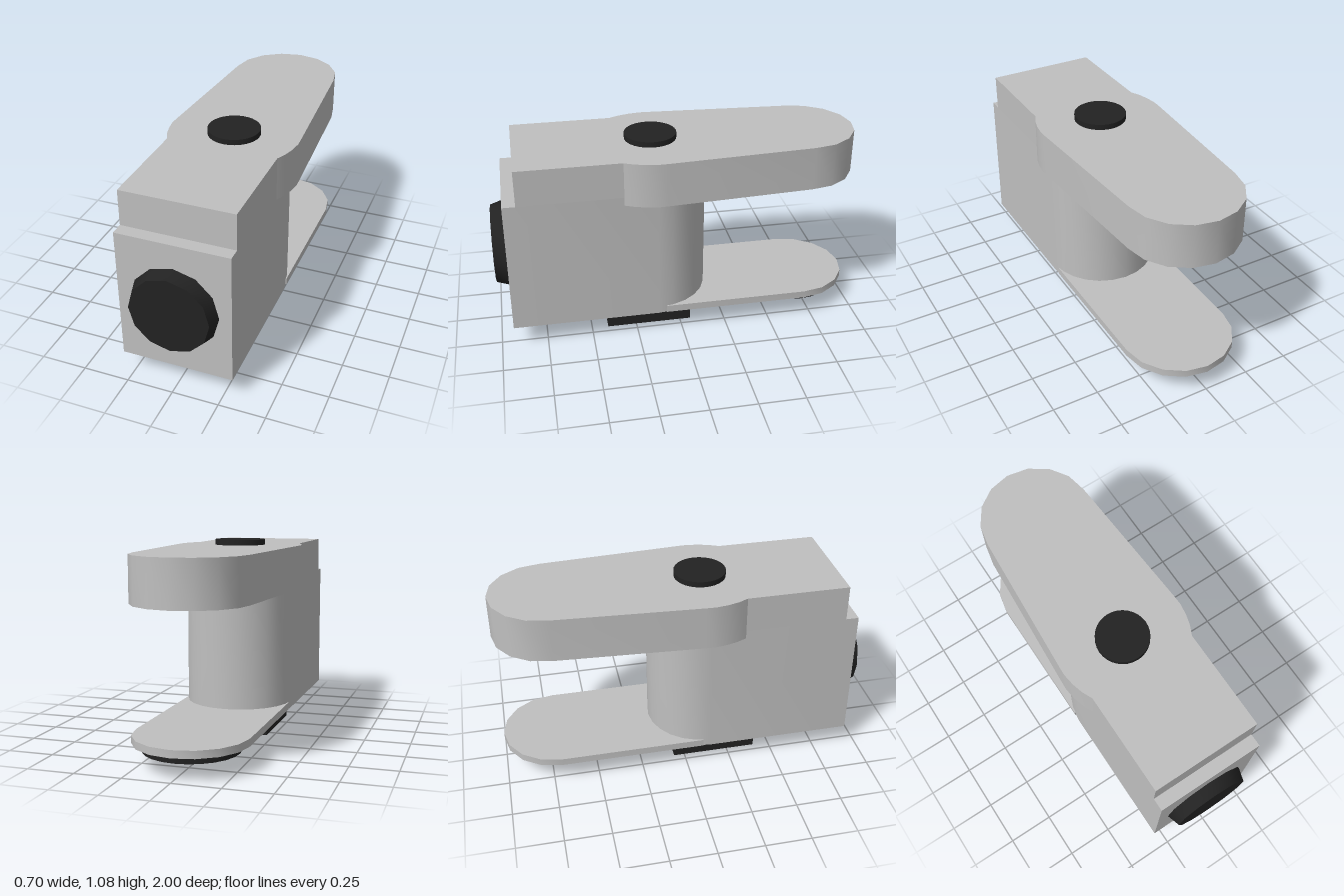
import * as THREE from 'three';
import { toCreasedNormals } from 'three/addons/utils/BufferGeometryUtils.js';

export function createModel() {
  const model = new THREE.Group();
  const grey = new THREE.MeshStandardMaterial({ color: 0xc0c0c0 });
  grey.name = 'lightGrey';
  const black = new THREE.MeshStandardMaterial({ color: 0x222222 });
  black.name = 'black';

  const add = (name, geometry, material) => {
    const mesh = new THREE.Mesh(geometry, material);
    mesh.name = name;
    model.add(mesh);
    return mesh;
  };

  // Symmetric slab from a half plan outline of [x, z] points, front to back
  const slab = (half, y0, y1) => {
    const mirrored = half.filter(([x]) => x > 1e-6).map(([x, z]) => [-x, z]).reverse();
    const shape = new THREE.Shape([...half, ...mirrored].map(([x, z]) => new THREE.Vector2(x, z)));
    const g = new THREE.ExtrudeGeometry(shape, { depth: y1 - y0, bevelEnabled: false });
    g.rotateX(Math.PI / 2).translate(0, y1, 0);
    return toCreasedNormals(g, 0.7);
  };

  // Quarter arc from the side (+x) round to the back (-z)
  const backArc = (r, zc, n) => Array.from({ length: n + 1 }, (_, i) => {
    const a = (i / n) * Math.PI / 2;
    return [r * Math.cos(a), zc - r * Math.sin(a)];
  });

  const disc = (rTop, rBottom, h, sides) =>
    toCreasedNormals(new THREE.CylinderGeometry(rTop, rBottom, h, sides), 0.7);

  // Main housing with a rounded back
  add('housing', slab([[0.3, 0.93], ...backArc(0.3, 0.13, 6)], 0.12, 0.855), grey);

  // Raised upper block, set back from the front face
  add('upperBlock', slab([[0.3, 0.86], [0.3, 0.308]], 0.855, 1.05), grey);

  // Thick upper arm: round shoulder, tapered sides, round tip
  const shoulder = [[0.3, 0.308], [0.325, 0.255], [0.342, 0.195], [0.351, 0.13], [0.349, 0.08]];
  add('upperArm', slab([...shoulder, ...backArc(0.3, -0.7, 4)], 0.81, 1.05), grey);

  // Thin lower plate
  add('lowerPlate', slab([[0.3, 0.09], ...backArc(0.3, -0.7, 4)], 0.12, 0.16), grey);

  // Top button
  add('topButton', disc(0.14, 0.14, 0.03, 32), black).position.set(0, 1.065, 0.125);

  // Tapered twelve-sided front knob
  const knob = add('frontKnob', disc(0.213, 0.235, 0.07, 12), black);
  knob.rotation.x = Math.PI / 2;
  knob.position.set(0, 0.487, 0.965);

  // Foot block and round pad underneath
  add('footBlock', new THREE.BoxGeometry(0.42, 0.12, 0.47), black).position.set(0, 0.06, 0.175);
  add('roundPad', disc(0.25, 0.25, 0.04, 24), black).position.set(0, 0.1, -0.7);

  return model;
}
